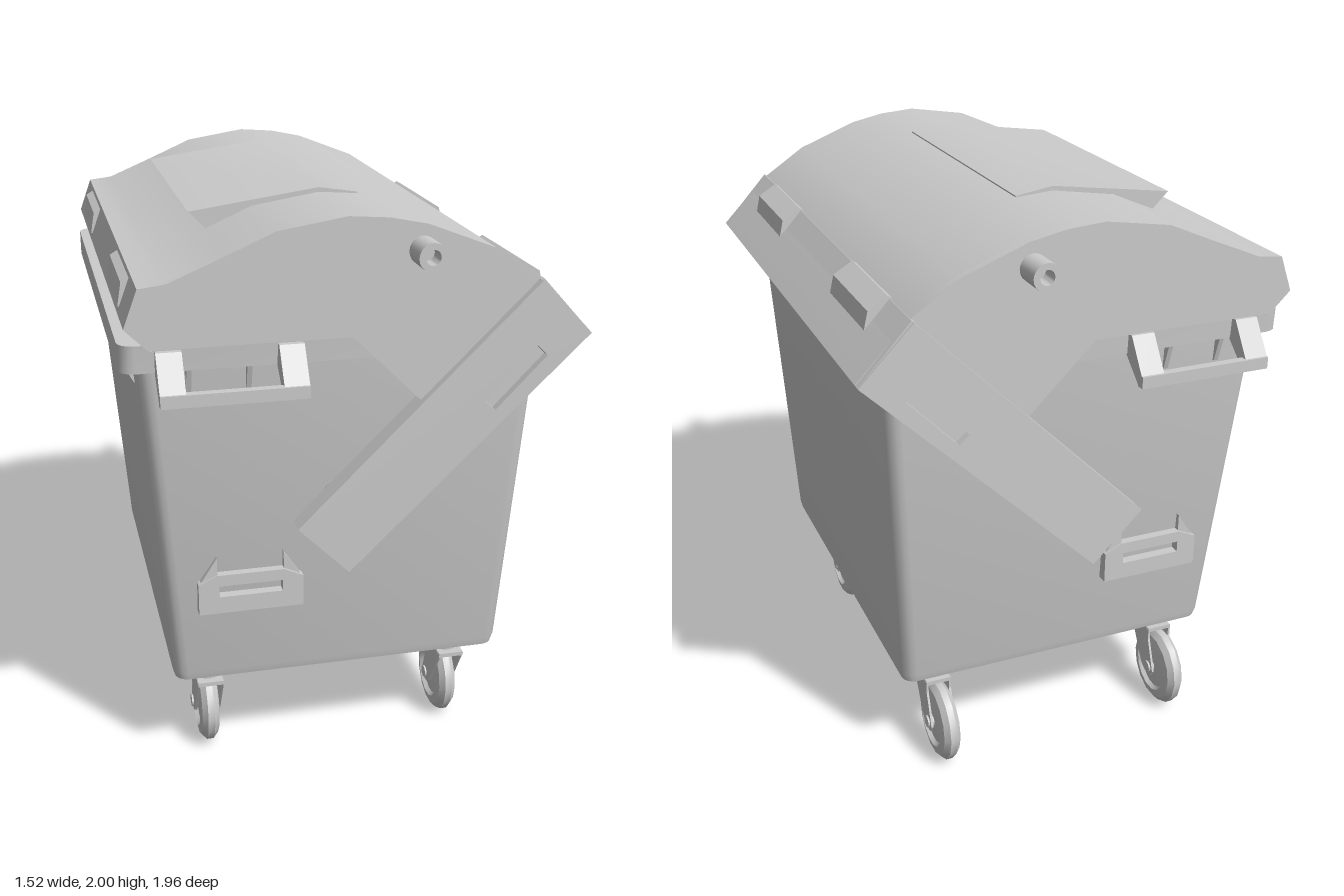
import * as THREE from 'three';
import { toCreasedNormals } from 'three/addons/utils/BufferGeometryUtils.js';

const mat = new THREE.MeshStandardMaterial({ color: 0xcccccc });

function add(parent, name, geometry, x = 0, y = 0, z = 0) {
  const mesh = new THREE.Mesh(geometry, mat);
  mesh.name = name;
  mesh.position.set(x, y, z);
  parent.add(mesh);
  return mesh;
}

const toPoints = (list) => list.map(([x, y]) => new THREE.Vector2(x, y));

// Plate with an outline in the x-y plane, reaching from z0 to z1
function plate(outline, z0, z1, hole) {
  const shape = new THREE.Shape(toPoints(outline));
  if (hole) shape.holes.push(new THREE.Path(toPoints(hole)));
  const [a, b] = [Math.min(z0, z1), Math.max(z0, z1)];
  const g = new THREE.ExtrudeGeometry(shape, { depth: b - a, bevelEnabled: false });
  return toCreasedNormals(g.translate(0, 0, a), 0.35);
}

// Closed loft through rounded rectangles [y, xMin, xMax, zHalf, radius]
function loft(sections) {
  const seg = 4, n = 4 * (seg + 1), pos = [], index = [];
  for (const [y, x0, x1, hz, r] of sections) {
    for (let c = 0; c < 4; c++) {
      const cx = c === 0 || c === 3 ? x1 - r : x0 + r;
      const cz = c < 2 ? hz - r : r - hz;
      for (let i = 0; i <= seg; i++) {
        const a = (c + i / seg) * Math.PI / 2;
        pos.push(cx + r * Math.cos(a), y, cz + r * Math.sin(a));
      }
    }
  }
  const last = (sections.length - 1) * n;
  for (let k = 0; k < last; k += n) {
    for (let i = 0; i < n; i++) {
      const j = (i + 1) % n;
      index.push(k + i, k + n + i, k + j, k + j, k + n + i, k + n + j);
    }
  }
  for (let i = 1; i < n - 1; i++) index.push(0, i, i + 1, last, last + i + 1, last + i);
  const g = new THREE.BufferGeometry();
  g.setAttribute('position', new THREE.Float32BufferAttribute(pos, 3));
  g.setIndex(index);
  return toCreasedNormals(g, 0.6);
}

function cylinderZ(r, z0, z1) {
  return new THREE.CylinderGeometry(r, r, Math.abs(z1 - z0), 20)
    .rotateX(Math.PI / 2).translate(0, 0, (z0 + z1) / 2);
}

// Swivel caster; the wheel trails towards -z
function caster() {
  const g = new THREE.Group();
  g.name = 'caster';
  add(g, 'casterStem', new THREE.CylinderGeometry(0.033, 0.033, 0.06, 14), 0, 0.33, 0);
  add(g, 'casterCollar', new THREE.CylinderGeometry(0.045, 0.045, 0.03, 14), 0, 0.31, 0);
  add(g, 'forkTop', new THREE.BoxGeometry(0.09, 0.015, 0.14), 0, 0.297, 0);
  const arm = [[-0.07, 0.3], [0.07, 0.3], [-0.03, 0.135], [-0.06, 0.115], [-0.1, 0.115], [-0.115, 0.14], [-0.07, 0.26]];
  for (const s of [-1, 1]) {
    // Outline drawn as (z, y), turned into the side plane
    const side = plate(arm.map(([z, y]) => [-z, y]), -0.004, 0.004).rotateY(Math.PI / 2);
    add(g, 'forkSide', side, s * 0.042, 0, 0);
  }
  const profile = [[0.02, -0.03], [0.085, -0.022], [0.095, -0.036], [0.125, -0.03], [0.145, -0.012],
    [0.145, 0.012], [0.125, 0.03], [0.095, 0.036], [0.085, 0.022], [0.02, 0.03]];
  const wheel = new THREE.LatheGeometry(toPoints(profile), 14).rotateZ(Math.PI / 2);
  add(g, 'wheel', toCreasedNormals(wheel, 0.5), 0, 0.145, -0.08);
  add(g, 'axle', new THREE.CylinderGeometry(0.022, 0.022, 0.105, 12).rotateZ(Math.PI / 2), 0, 0.145, -0.08);
  return g;
}

export function createModel() {
  const model = new THREE.Group();
  model.name = 'wasteContainer';
  // The whole container stands very slightly turned
  const bin = new THREE.Group();
  bin.name = 'container';
  bin.rotation.y = -0.016;
  model.add(bin);

  // Tapered tub and its rim
  add(bin, 'tub', loft([
    [0.35, -0.575, 0.545, 0.685, 0.035],
    [0.36, -0.592, 0.56, 0.702, 0.045],
    [0.39, -0.6, 0.568, 0.71, 0.05],
    [1.53, -0.69, 0.63, 0.785, 0.05],
  ]));
  add(bin, 'rim', loft([[1.52, -0.745, 0.66, 0.82, 0.05], [1.61, -0.745, 0.66, 0.825, 0.05]]));
  for (let i = 0; i < 6; i++) {
    const z = -0.65 + i * 0.26;
    add(bin, 'rimGusset', plate([[-0.66, 1.53], [-0.735, 1.53], [-0.68, 1.43], [-0.66, 1.43]], z - 0.008, z + 0.008));
  }

  // Curved lid shell
  const roof = [[-0.66, 1.61], [-0.73, 1.68], [-0.685, 1.8], [-0.6, 1.81], [-0.42, 1.885], [-0.27, 1.95], [-0.05, 1.985],
    [0.08, 1.975], [0.2, 1.95], [0.42, 1.865], [0.57, 1.765], [0.65, 1.685], [0.745, 1.585]];
  const inner = roof.map(([x, y]) => [x * 0.98, 1.5 + (y - 1.5) * 0.965]).reverse();
  add(bin, 'lidShell', plate([...roof, ...inner], -0.88, 0.88));
  add(bin, 'lidHatch', plate([[-0.475, 1.94], [-0.42, 1.885], [-0.27, 1.945], [-0.05, 1.98], [0.08, 1.97], [0.08, 1.98], [-0.05, 2]], -0.5, 0.5));
  add(bin, 'lidFrontEdge', plate([[0.565, 1.76], [0.72, 1.58], [0.745, 1.58], [0.575, 1.765]], -0.9, 0.9));

  // Grips on the front slope and rear lip of the lid
  for (const z of [-0.515, 0.515]) {
    add(bin, 'frontGrip', plate([[0.555, 1.76], [0.6, 1.7], [0.66, 1.67], [0.645, 1.735], [0.58, 1.775]], z - 0.183, z + 0.183));
    add(bin, 'rearGrip', plate([[-0.72, 1.7], [-0.68, 1.76], [-0.69, 1.79], [-0.715, 1.775], [-0.728, 1.7]], z - 0.18, z + 0.18));
  }

  for (const s of [-1, 1]) {
    // Lid end panel, swing arm with slot, and pivot
    add(bin, 'lidEnd', plate([...roof, [0.72, 1.575], [0.36, 1.24], [0.18, 1.4], [-0.03, 1.61]], s * 0.855, s * 0.88));
    add(bin, 'swingArm', plate([[-0.21, 0.99], [-0.04, 0.82], [0.745, 1.58], [0.57, 1.76]], s * 0.835, s * 0.908,
      [[0.4, 1.375], [0.435, 1.345], [0.6, 1.515], [0.565, 1.55]]));
    add(bin, 'armPivot', cylinderZ(0.09, s * 0.7, s * 0.84), -0.01, 1.01, 0);

    // Hollow lifting pin
    const pin = toPoints([[0.024, 0.06], [0.024, 0.125], [0.045, 0.125], [0.045, 0]].reverse());
    const pinGeometry = new THREE.LatheGeometry([...pin, new THREE.Vector2(0, 0.06)], 20).rotateX(s * Math.PI / 2);
    add(bin, 'liftingPin', toCreasedNormals(pinGeometry, 0.6), 0.185, 1.87, s * 0.855);

    // Rail hung from the rim on two brackets
    const rail = new THREE.Group();
    rail.name = 'sideRail';
    bin.add(rail);
    add(rail, 'railBar', new THREE.BoxGeometry(0.46, 0.04, 0.03), -0.405, 1.46, s * 0.915);
    for (const x of [-0.595, -0.215]) {
      const bracket = plate([[0.8, 1.59], [0.845, 1.59], [0.925, 1.475], [0.925, 1.445], [0.9, 1.445], [0.8, 1.53]]
        .map(([z, y]) => [-s * z, y]), -0.04, 0.04).rotateY(Math.PI / 2);
      add(rail, 'railBracket', bracket, x, 0, 0);
    }
    for (const x of [-0.53, -0.34]) {
      const rib = plate([[0.76, 1.53], [0.815, 1.53], [0.785, 1.43], [0.76, 1.43]]
        .map(([z, y]) => [-s * z, y]), -0.008, 0.008).rotateY(Math.PI / 2);
      add(rail, 'railRib', rib, x, 0, 0);
    }

    // Low grab handle with slot and horned corners
    add(bin, 'grabHandle', plate([[-0.515, 0.64], [-0.16, 0.64], [-0.16, 0.75], [-0.225, 0.78], [-0.45, 0.78], [-0.515, 0.75]],
      s * 0.7, s * 0.765, [[-0.445, 0.7], [-0.23, 0.7], [-0.23, 0.74], [-0.445, 0.74]]));
    for (const [x0, x1] of [[-0.515, -0.45], [-0.16, -0.225]]) {
      add(bin, 'grabHandleHorn', plate([[x0, 0.74], [x1, 0.74], [x1, 0.84]], s * 0.71, s * 0.755));
    }

    // Casters, all trailing the same way
    for (const x of [-0.465, 0.42]) {
      const c = caster();
      c.position.set(x, 0, s * 0.58);
      bin.add(c);
    }
  }
  return model;
}
